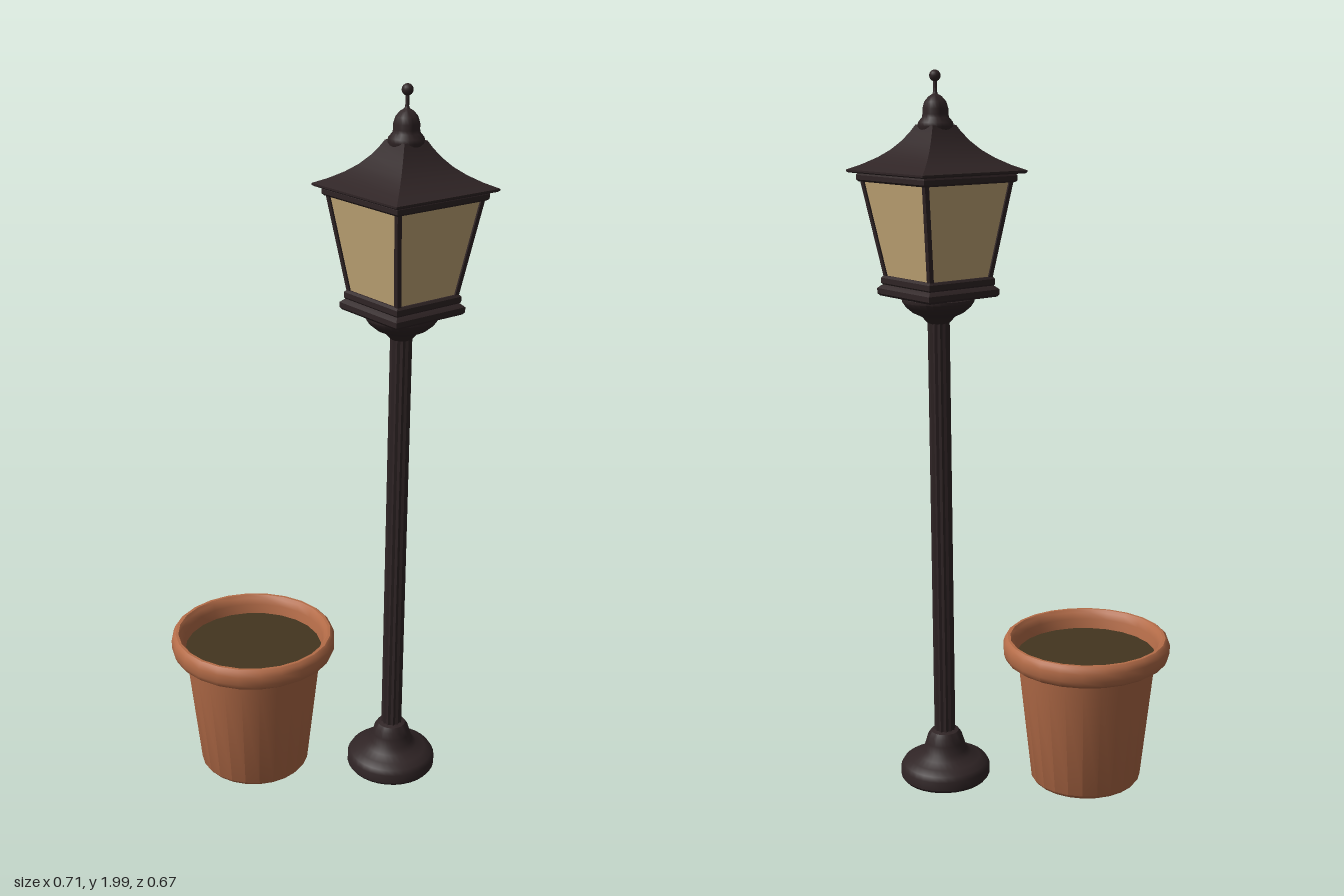
import * as THREE from 'three';
import { toCreasedNormals } from 'three/addons/utils/BufferGeometryUtils.js';

const paint = (name, color) => {
  const m = new THREE.MeshStandardMaterial({ color });
  m.name = name;
  return m;
};

// Profile points are [radius, height], listed from the bottom up.
function round(profile, segments, crease = 0.6) {
  const pts = profile.map(([r, y]) => new THREE.Vector2(r, y));
  return toCreasedNormals(new THREE.LatheGeometry(pts, segments), crease);
}

// Square turned section: profile points are [half width, height].
function square(profile) {
  const pts = profile.map(([r, y]) => new THREE.Vector2(r * Math.SQRT2, y));
  return toCreasedNormals(new THREE.LatheGeometry(pts, 4, Math.PI / 4), 0.4);
}

export function createModel() {
  const iron = paint('dark iron', 0x2f2425);
  const glass = paint('amber glass', 0xc4a878);
  const clay = paint('terracotta', 0xb46c48);
  const earth = paint('soil', 0x43351f);

  const model = new THREE.Group();
  const lamp = new THREE.Group();
  lamp.name = 'streetLamp';
  lamp.position.set(0.186, 0, 0.166);
  const planter = new THREE.Group();
  planter.name = 'planter';
  planter.position.set(-0.121, 0, -0.101);
  model.add(lamp, planter);

  const add = (parent, name, geometry, material) => {
    const mesh = new THREE.Mesh(geometry, material);
    mesh.name = name;
    parent.add(mesh);
    return mesh;
  };

  // Flared foot
  add(lamp, 'base', round([[0, 0.008], [0.122, 0.008], [0.128, 0.016], [0.128, 0.042], [0.12, 0.055],
    [0.1, 0.066], [0.075, 0.077], [0.062, 0.092], [0.055, 0.115], [0.049, 0.135], [0.04, 0.148], [0.025, 0.152]], 32), iron);

  // Fluted pole: every second edge is pulled in
  const pole = new THREE.CylinderGeometry(0.03, 0.03, 1.22, 24, 1, true);
  const p = pole.attributes.position;
  for (let i = 0; i < p.count; i++) {
    if ((i % 25) % 2) p.setXYZ(i, p.getX(i) * 0.88, p.getY(i), p.getZ(i) * 0.88);
  }
  pole.translate(0, 0.745, 0);
  add(lamp, 'pole', toCreasedNormals(pole, 0.2), iron);

  // Cup and stepped tray under the lantern
  add(lamp, 'lanternCup', round([[0.025, 1.335], [0.034, 1.342], [0.045, 1.355], [0.07, 1.367], [0.088, 1.382],
    [0.098, 1.397], [0.098, 1.405], [0.085, 1.415]], 32), iron);
  add(lamp, 'lanternTray', square([[0, 1.41], [0.112, 1.41], [0.117, 1.416], [0.117, 1.43], [0.111, 1.436],
    [0.106, 1.44], [0.109, 1.444], [0.109, 1.458], [0.104, 1.464], [0, 1.464]]), iron);

  // Tapered glass body
  add(lamp, 'glassPanes', square([[0.099, 1.46], [0.14, 1.72]]), glass);

  // Leaning corner posts, sheared outwards with height
  for (const sx of [-1, 1]) for (const sz of [-1, 1]) {
    const post = new THREE.BoxGeometry(0.013, 0.264, 0.013);
    const v = post.attributes.position;
    for (let i = 0; i < v.count; i++) {
      const d = 0.118 + v.getY(i) * 0.158;
      v.setX(i, v.getX(i) + sx * d);
      v.setZ(i, v.getZ(i) + sz * d);
    }
    post.translate(0, 1.59, 0);
    post.computeVertexNormals();
    add(lamp, 'cornerPost', post, iron);
  }

  // Top frame and swept roof
  add(lamp, 'topFrame', square([[0, 1.713], [0.147, 1.713], [0.152, 1.718], [0.152, 1.73], [0.148, 1.738]]), iron);
  add(lamp, 'roof', square([[0, 1.736], [0.166, 1.736], [0.17, 1.739], [0.17, 1.744], [0.14, 1.758], [0.11, 1.776],
    [0.085, 1.796], [0.064, 1.819], [0.048, 1.842], [0.038, 1.86], [0, 1.862]]), iron);

  // Finial
  add(lamp, 'finial', round([[0.03, 1.838], [0.044, 1.846], [0.048, 1.857], [0.046, 1.867], [0.036, 1.879],
    [0.034, 1.888], [0.034, 1.902], [0.029, 1.919], [0.018, 1.932], [0.007, 1.939], [0.005, 1.945], [0.005, 1.98]], 24), iron);
  add(lamp, 'finialBall', new THREE.SphereGeometry(0.015, 16, 12).translate(0, 1.985, 0), iron);

  // Pot with rolled rim, open inside down to the soil
  add(planter, 'pot', round([[0, 0.008], [0.15, 0.008], [0.158, 0.018], [0.196, 0.368], [0.218, 0.371], [0.231, 0.38],
    [0.237, 0.395], [0.237, 0.418], [0.232, 0.432], [0.225, 0.438], [0.217, 0.438], [0.209, 0.43], [0.203, 0.412],
    [0.195, 0.37]], 24), clay);
  add(planter, 'soil', new THREE.CircleGeometry(0.198, 24).rotateX(-Math.PI / 2).translate(0, 0.385, 0), earth);

  return model;
}
